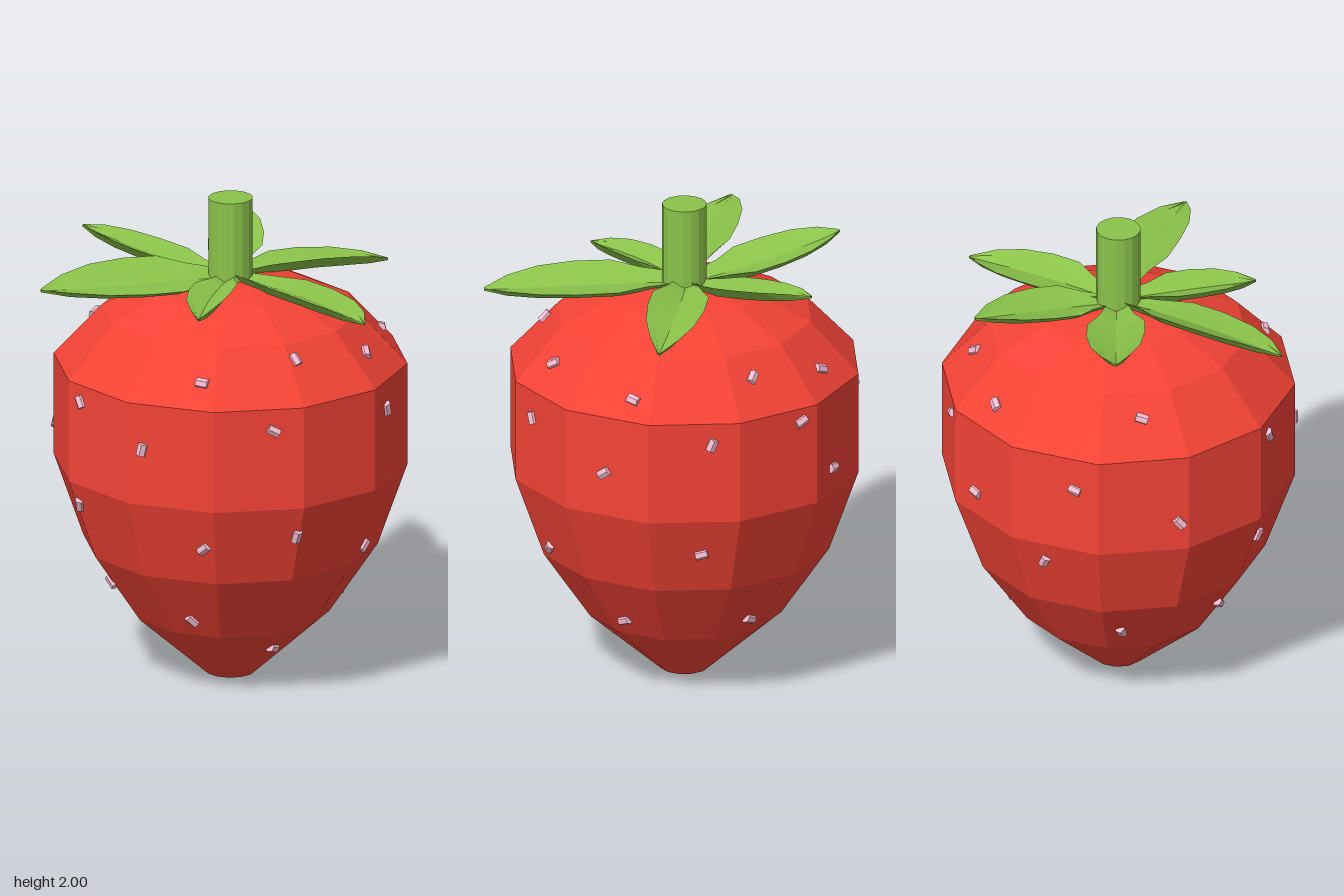
import * as THREE from 'three';

const RED = new THREE.MeshStandardMaterial({ color: 0xf44336, flatShading: true });
const GREEN = new THREE.MeshStandardMaterial({ color: 0x8bc34a, flatShading: true });
const PINK = new THREE.MeshStandardMaterial({ color: 0xf8bbd0, flatShading: true });

const CZ = -0.04; // axis of the fruit
const SIDES = 12;
const PROFILE = [
  [0, 0], [0.1, 0], [0.4, 0.265], [0.595, 0.555], [0.715, 0.895],
  [0.715, 1.32], [0.52, 1.53], [0.31, 1.63], [0.155, 1.665], [0, 1.67],
];

// Leaves: base, bend and tip of the midrib, half width, sideways roll
const LEAVES = [
  { base: [0, 1.665, -0.1], bend: [-0.03, 1.7, -0.42], tip: [-0.07, 1.77, -0.72], width: 0.118, roll: 0.1 },
  { base: [0.05, 1.665, -0.07], bend: [0.25, 1.7, -0.18], tip: [0.54, 1.755, -0.4], width: 0.112, roll: -0.1 },
  { base: [0.05, 1.67, -0.03], bend: [0.32, 1.7, 0.08], tip: [0.64, 1.63, 0.28], width: 0.115, roll: -0.08 },
  { base: [0, 1.67, 0], bend: [-0.05, 1.69, 0.38], tip: [-0.18, 1.66, 0.75], width: 0.135, roll: -0.15 },
  { base: [-0.05, 1.67, -0.02], bend: [-0.29, 1.69, 0.06], tip: [-0.53, 1.66, 0.18], width: 0.09, roll: 0.05 },
  { base: [-0.05, 1.67, -0.07], bend: [-0.32, 1.7, -0.2], tip: [-0.71, 1.71, -0.47], width: 0.14, roll: -0.26 },
];

// Seeds: angle in degrees from the front towards +x, height
const SEEDS = [
  [-27, 1.475], [10.7, 1.425], [53, 1.39], [-65, 1.41], [100, 1.45], [134, 1.4], [-164, 1.45],
  [-40, 1.23], [10, 1.205], [81, 1.23], [114, 1.265], [172, 1.18], [-114, 1.25],
  [-85, 1.13], [44, 1.08], [131, 1.0], [-153, 1.02],
  [-31, 0.765], [8, 0.62], [78, 0.735], [160, 0.8], [-118, 0.8], [-64, 0.72],
  [39, 0.345], [-75, 0.345], [108, 0.345], [-172, 0.4], [-122, 0.44], [-18, 0.17],
];

// Cupped blade swept along its midrib
function leafGeometry({ base, bend, tip, width, roll }) {
  const curve = new THREE.QuadraticBezierCurve3(
    new THREE.Vector3(...base), new THREE.Vector3(...bend), new THREE.Vector3(...tip));
  const stations = [[0, 0.35], [0.17, 0.6], [0.32, 0.98], [0.52, 1], [0.72, 0.85], [0.88, 0.5], [1, 0.04]];
  const ring = [[1, 0.028], [0.55, 0.012], [0, -0.006], [-0.55, 0.012], [-1, 0.028], [-0.5, -0.022], [0.5, -0.022]];
  const n = ring.length;
  const pos = [];
  const index = [];
  stations.forEach(([t, w], i) => {
    const p = curve.getPoint(t);
    const d = curve.getTangent(t);
    const side = new THREE.Vector3(d.z, 0, -d.x).normalize();
    for (const [s, u] of ring) {
      const across = s * w * width;
      pos.push(p.x + side.x * across, p.y + u * Math.sqrt(w) + roll * across, p.z + side.z * across);
    }
    if (i === 0) return;
    for (let j = 0; j < n; j++) {
      const k = (j + 1) % n;
      const a = (i - 1) * n + j, b = (i - 1) * n + k, c = i * n + k, e = i * n + j;
      index.push(a, b, c, a, c, e);
    }
  });
  const last = (stations.length - 1) * n;
  for (let j = 1; j < n - 1; j++) index.push(0, j + 1, j, last, last + j, last + j + 1);
  const g = new THREE.BufferGeometry();
  g.setAttribute('position', new THREE.Float32BufferAttribute(pos, 3));
  g.setIndex(index);
  g.computeVertexNormals();
  return g;
}

// Point and outward normal on the faceted fruit
function surfaceAt(degrees, y) {
  const step = 360 / SIDES;
  const facet = (Math.floor(degrees / step) + 0.5) * step;
  const rad = THREE.MathUtils.degToRad;
  const i = PROFILE.findIndex((p, k) => k > 1 && p[1] >= y);
  const [r0, y0] = PROFILE[i - 1], [r1, y1] = PROFILE[i];
  const r = (r0 + (r1 - r0) * (y - y0) / (y1 - y0)) * Math.cos(rad(step / 2)) / Math.cos(rad(degrees - facet));
  const a = rad(degrees), f = rad(facet);
  return {
    point: new THREE.Vector3(Math.sin(a) * r, y, CZ + Math.cos(a) * r),
    normal: new THREE.Vector3(Math.sin(f) * (y1 - y0), r0 - r1, Math.cos(f) * (y1 - y0)).normalize(),
  };
}

export function createModel() {
  const model = new THREE.Group();
  const add = (parent, name, geometry, material) => {
    const mesh = new THREE.Mesh(geometry, material);
    mesh.name = name;
    parent.add(mesh);
    return mesh;
  };

  // Fruit body
  const points = PROFILE.map(([r, y]) => new THREE.Vector2(r, y));
  add(model, 'fruit', new THREE.LatheGeometry(points, SIDES), RED).position.z = CZ;

  // Stem
  add(model, 'stem', new THREE.CylinderGeometry(0.09, 0.09, 0.36, 16), GREEN).position.set(0, 1.82, CZ);

  // Leaf crown
  const crown = new THREE.Group();
  crown.name = 'leafCrown';
  LEAVES.forEach((leaf) => add(crown, 'leaf', leafGeometry(leaf), GREEN));
  model.add(crown);

  // Seeds: tiny barrels lying half sunk in the skin
  const seeds = new THREE.Group();
  seeds.name = 'seeds';
  const barrel = new THREE.CylinderGeometry(0.021, 0.021, 0.05, 6);
  SEEDS.forEach(([angle, y], i) => {
    const { point, normal } = surfaceAt(angle, y);
    const seed = add(seeds, 'seed', barrel, PINK);
    seed.position.copy(point);
    seed.quaternion.setFromUnitVectors(new THREE.Vector3(0, 0, 1), normal);
    seed.rotateZ(i * 2.4);
  });
  model.add(seeds);

  return model;
}
